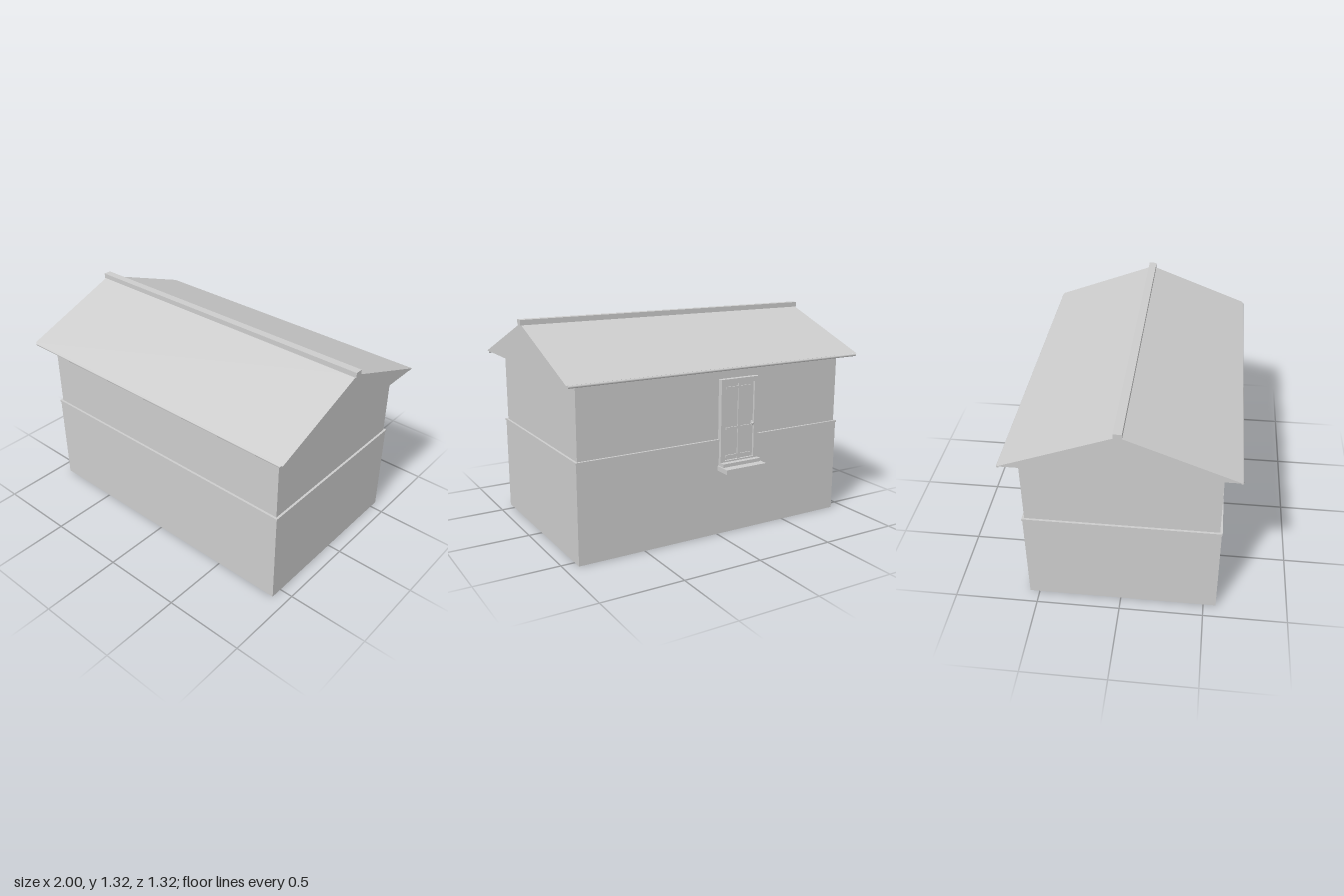
import * as THREE from 'three';

const plaster = new THREE.MeshStandardMaterial({ color: 0xcccccc });
plaster.name = 'light grey';

// Box given by its extents on each axis
function block(parent, name, [x0, x1], [y0, y1], [z0, z1]) {
  const mesh = new THREE.Mesh(new THREE.BoxGeometry(x1 - x0, y1 - y0, z1 - z0), plaster);
  mesh.position.set((x0 + x1) / 2, (y0 + y1) / 2, (z0 + z1) / 2);
  mesh.name = name;
  parent.add(mesh);
  return mesh;
}

// The house is centred slightly forward, since the sill projects at the back
const ZC = 0.008;
const span = (half) => [-half, half];
const depth = (half) => [ZC - half, ZC + half];

function makeRoof() {
  const roof = new THREE.Group();
  roof.name = 'roof';

  // Solid gable prism along x
  const gable = new THREE.Shape([
    new THREE.Vector2(-0.648, 1.046),
    new THREE.Vector2(0.648, 1.046),
    new THREE.Vector2(0, 1.292),
  ]);
  const geo = new THREE.ExtrudeGeometry(gable, { depth: 1.986, bevelEnabled: false });
  geo.translate(0, 0, -0.993);
  geo.rotateY(Math.PI / 2);
  const slopes = new THREE.Mesh(geo, plaster);
  slopes.name = 'roofSlopes';
  slopes.position.z = ZC;
  roof.add(slopes);

  block(roof, 'ridgeCap', span(1), [1.284, 1.315], depth(0.024));

  // Round rail under each eave
  for (const side of [-1, 1]) {
    const rail = new THREE.Mesh(new THREE.CylinderGeometry(0.008, 0.008, 1.964, 12), plaster);
    rail.name = side > 0 ? 'frontGutter' : 'backGutter';
    rail.rotation.z = Math.PI / 2;
    rail.position.set(0, 1.037, ZC + side * 0.646);
    roof.add(rail);
  }
  return roof;
}

function makeWindow() {
  const win = new THREE.Group();
  win.name = 'window';
  win.position.x = -0.14;
  const y0 = 0.437, y1 = 0.963, w = 0.134, t = 0.03;

  // Casing around the opening
  const casing = [-0.58, -0.545];
  for (const s of [-1, 1]) {
    const xs = [s * w, s * (w - t)].sort((a, b) => a - b);
    block(win, 'casingSide', xs, [y0, y1], casing);
  }
  block(win, 'casingTop', span(w - t), [y1 - t, y1], casing);
  block(win, 'casingBottom', span(w - t), [y0, y0 + t], casing);

  // Recessed pane with its sash bars
  block(win, 'pane', span(w - t), [y0 + t, y1 - t], [-0.566, -0.55]);
  const bars = [-0.573, -0.56];
  block(win, 'middleBar', span(0.009), [y0 + t, y1 - t], bars);
  for (const y of [0.49, 0.662, 0.908]) {
    block(win, 'crossBar', span(w - t - 0.012), [y - 0.007, y + 0.007], bars);
  }

  // Handle on the closing side
  block(win, 'handlePlate', [-0.102, -0.09], [0.66, 0.69], [-0.58, -0.56]);
  const knob = new THREE.Mesh(new THREE.SphereGeometry(0.01, 12, 8), plaster);
  knob.name = 'handleKnob';
  knob.position.set(-0.096, 0.676, -0.578);
  win.add(knob);

  // Stepped sill
  block(win, 'sillStep', span(w), [0.437, 0.458], [-0.612, -0.56]);
  block(win, 'sill', span(0.143), [0.408, 0.437], [-0.662, -0.55]);
  return win;
}

export function createModel() {
  const house = new THREE.Group();
  house.name = 'house';

  // Walls: wider base, thin band, narrower upper storey
  block(house, 'lowerWalls', span(0.916), [0, 0.59], depth(0.567));
  block(house, 'wallBand', span(0.92), [0.588, 0.6], depth(0.571));
  block(house, 'upperWalls', span(0.906), [0.6, 1.047], depth(0.557));

  house.add(makeRoof(), makeWindow());
  return house;
}
